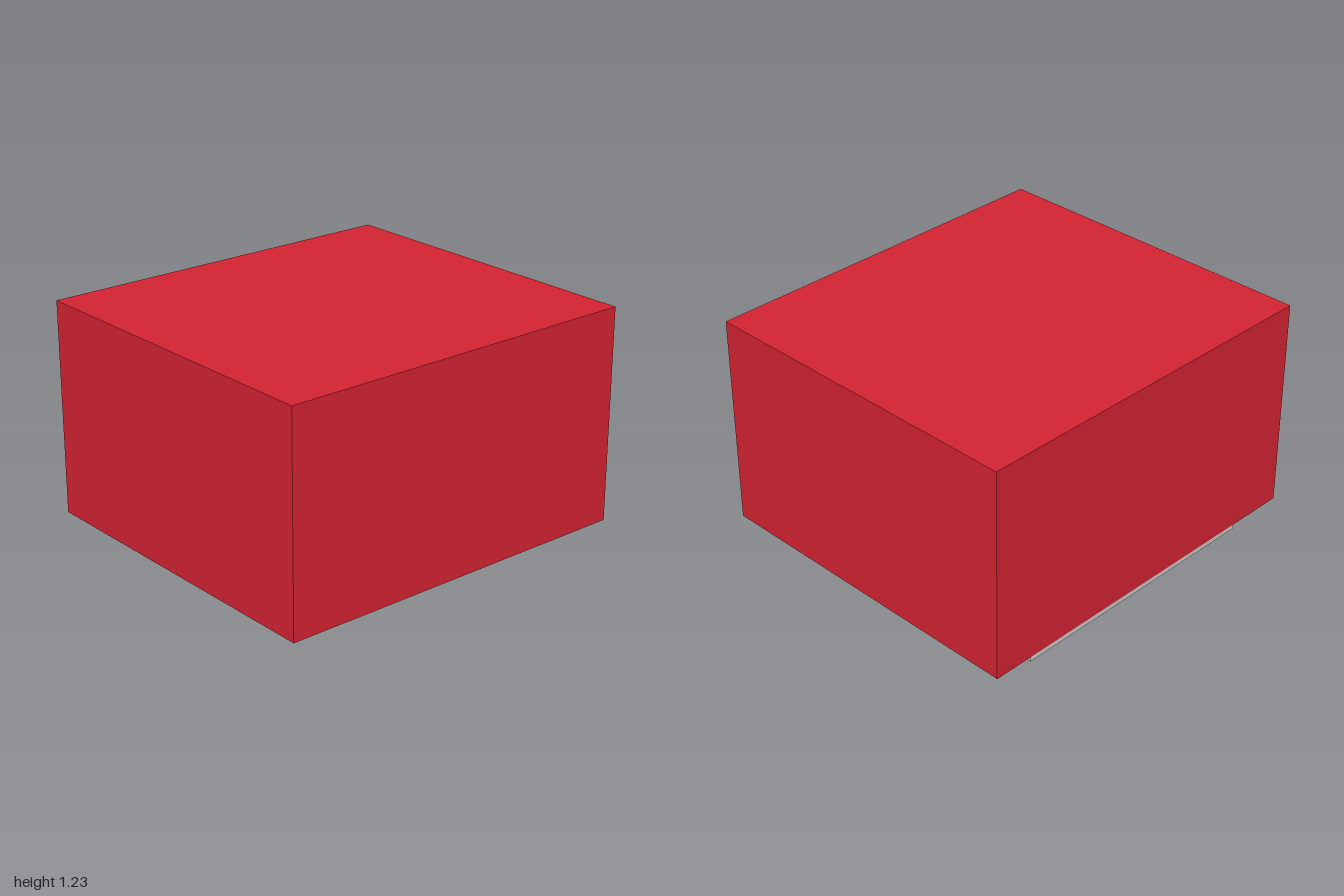
import * as THREE from 'three';

const red = new THREE.MeshStandardMaterial({ color: 0xd42332 });
const grey = new THREE.MeshStandardMaterial({ color: 0xcccccc });

// Box given by its lower and upper limits on each axis
function block(name, [x0, x1], [y0, y1], [z0, z1], material) {
  const mesh = new THREE.Mesh(new THREE.BoxGeometry(x1 - x0, y1 - y0, z1 - z0), material);
  mesh.position.set((x0 + x1) / 2, (y0 + y1) / 2, (z0 + z1) / 2);
  mesh.name = name;
  return mesh;
}

export function createModel() {
  const model = new THREE.Group();
  model.name = 'boxOnSlats';
  const base = 0.098;

  // Main body
  model.add(block('body', [-1, 1], [base, 1.225], [-0.905, 0.905], red));

  // Three slats underneath, the middle one deepest
  model.add(block('frontSlat', [-0.695, 0.737], [0.073, base], [0.39, 0.863], grey));
  model.add(block('middleSlat', [-0.673, 0.76], [0, base], [-0.2, 0.272], grey));
  model.add(block('backSlat', [-0.675, 0.785], [0.073, base], [-0.905, -0.437], grey));

  return model;
}
